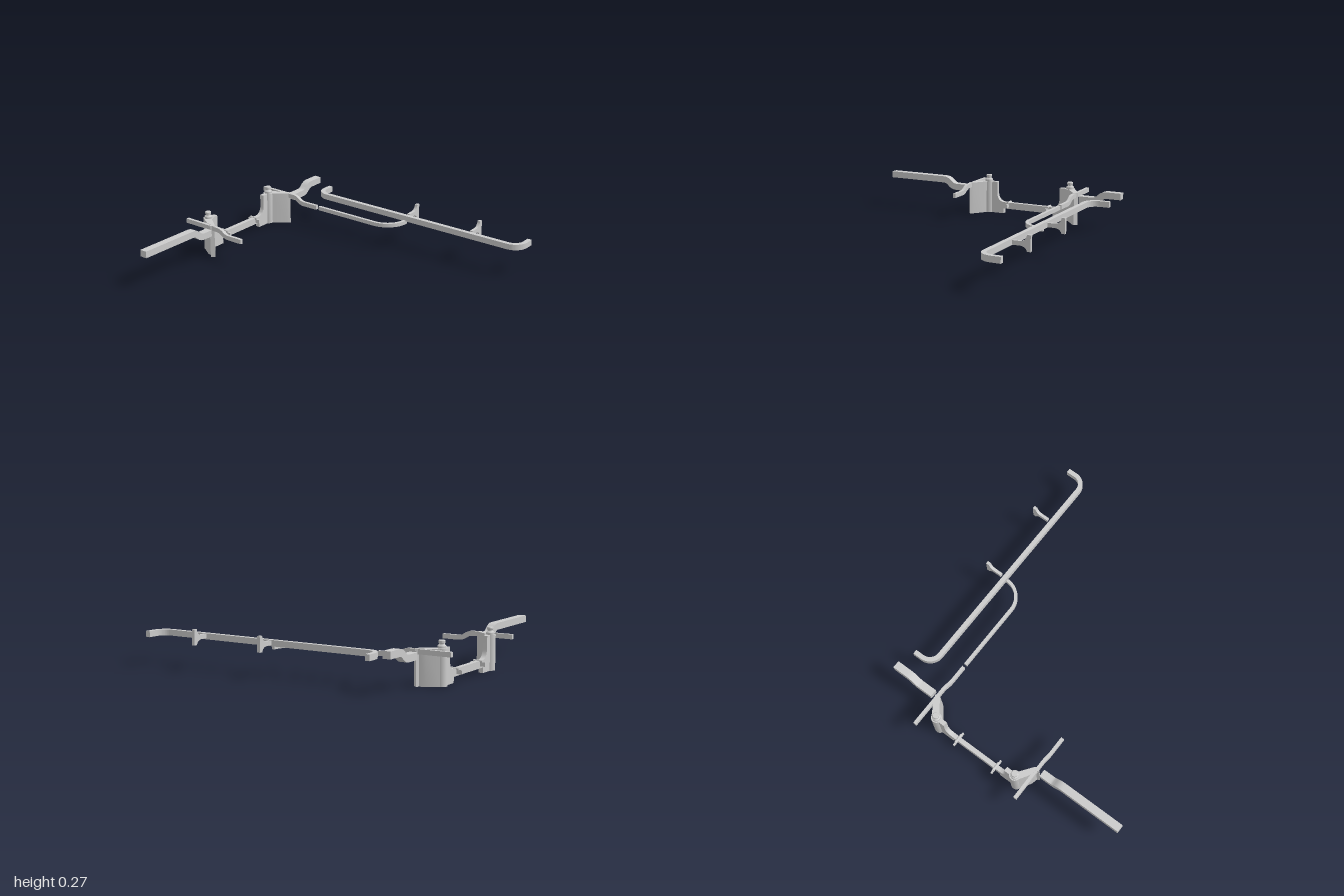
import * as THREE from 'three';
import { toCreasedNormals } from 'three/addons/utils/BufferGeometryUtils.js';

const material = new THREE.MeshStandardMaterial({ color: 0xcccccc, side: THREE.DoubleSide });

function add(group, name, geometry) {
  const mesh = new THREE.Mesh(toCreasedNormals(geometry, 0.6), material);
  mesh.name = name;
  group.add(mesh);
  return mesh;
}

const extrude = (shape, depth) =>
  new THREE.ExtrudeGeometry(shape, { depth, bevelEnabled: false, curveSegments: 10 });

// Band of constant width along a flat path
function ribbon(path, width) {
  const pts = path.getPoints(10).filter((p, i, a) => !i || p.distanceTo(a[i - 1]) > 1e-4);
  const left = [], right = [];
  pts.forEach((p, i) => {
    const t = pts[Math.min(i + 1, pts.length - 1)].clone().sub(pts[Math.max(i - 1, 0)]).normalize();
    const n = new THREE.Vector2(-t.y, t.x).multiplyScalar(width / 2);
    left.push(p.clone().add(n));
    right.unshift(p.clone().sub(n));
  });
  return new THREE.Shape([...left, ...right]);
}

// Plan shape (x, -z) raised from y0 to y1
const plan = (shape, y0, y1) => extrude(shape, y1 - y0).rotateX(-Math.PI / 2).translate(0, y0, 0);
// Front elevation (x, y) centred on z
const elevation = (shape, z, depth) => extrude(shape, depth).translate(0, 0, z - depth / 2);
// Side elevation (z, y) centred on x
const sideElevation = (shape, x, depth) =>
  extrude(shape, depth).rotateY(-Math.PI / 2).translate(x + depth / 2, 0, 0);

// Straight run, S bend, straight run
function stepPath(u0, v0, ua, ub, u1, v1) {
  const m = (ua + ub) / 2;
  const p = new THREE.Path().moveTo(u0, v0);
  p.lineTo(ua, v0);
  p.bezierCurveTo(m, v0, m, v1, ub, v1);
  p.lineTo(u1, v1);
  return p;
}

export function createModel() {
  const model = new THREE.Group();
  const mid = 0.147; // symmetry axis of the gate

  // Low crossing wall with curved shoulders
  const wall = new THREE.Shape();
  wall.moveTo(-0.16, 0);
  wall.lineTo(-0.04, 0);
  wall.lineTo(-0.04, 0.035);
  wall.lineTo(2 * mid + 0.04, 0.035);
  wall.lineTo(2 * mid + 0.04, 0);
  wall.lineTo(2 * mid + 0.16, 0);
  wall.lineTo(2 * mid + 0.16, 0.22);
  wall.lineTo(2 * mid + 0.09, 0.22);
  wall.lineTo(2 * mid + 0.09, 0.14);
  wall.quadraticCurveTo(2 * mid + 0.085, 0.08, 2 * mid + 0.03, 0.08);
  wall.lineTo(-0.03, 0.08);
  wall.quadraticCurveTo(-0.085, 0.08, -0.09, 0.14);
  wall.lineTo(-0.09, 0.22);
  wall.lineTo(-0.16, 0.22);
  wall.closePath();
  add(model, 'crossWall', elevation(wall, -0.89, 0.03));

  for (const s of [-1, 1]) {
    const x = (d) => mid + s * d;
    const side = s < 0 ? 'right' : 'left';

    // Round column with finial
    const profile = [[0, 0], [0.034, 0], [0.034, 0.22], [0.026, 0.22], [0.026, 0.233], [0.016, 0.243],
      [0.016, 0.249], [0.02, 0.251], [0.02, 0.263], [0.017, 0.266], [0, 0.266]];
    add(model, side + 'Column', new THREE.LatheGeometry(
      profile.map(([r, y]) => new THREE.Vector2(r, y)), 20)).position.set(x(0.307), 0, -0.89);

    // Splayed wing wall
    const wing = new THREE.Shape([[0.333, 0.908], [0.382, 0.83], [0.392, 0.79], [0.41, 0.782],
      [0.392, 0.758], [0.372, 0.775], [0.308, 0.86]].map(([d, z]) => new THREE.Vector2(x(d), z)));
    add(model, side + 'Wing', plan(wing, 0, 0.22));

    // Bars running front to back past the wing
    const bar = x(0.392);
    add(model, side + 'RearBar', new THREE.BoxGeometry(0.021, 0.03, 0.22)).position.set(bar, 0.203, -0.89);
    add(model, side + 'FrontBar',
      sideElevation(ribbon(stepPath(-0.77, 0.203, -0.73, -0.63, -0.52, 0.17), 0.03), bar, 0.021));

    // Small crossing lug on the wall
    const lug = new THREE.Group();
    lug.name = side + 'Lug';
    lug.position.set(x(0.15), 0, -0.89);
    add(lug, 'lugPlate', new THREE.BoxGeometry(0.01, 0.025, 0.1)).position.y = 0.06;
    add(lug, 'lugRod', new THREE.CylinderGeometry(0.009, 0.009, 0.06, 12).rotateX(Math.PI / 2))
      .position.y = 0.078;
    model.add(lug);
  }

  // Stepped side beams
  add(model, 'longBeam',
    elevation(ribbon(stepPath(-0.87, 0.227, -0.45, -0.35, -0.28, 0.182), 0.044), -0.775, 0.05));
  add(model, 'shortBeam',
    elevation(ribbon(stepPath(0.575, 0.182, 0.67, 0.77, 0.87, 0.227), 0.044), -0.775, 0.05));

  // Long rail with both ends turned outward
  const rail = new THREE.Path().moveTo(0.84, 0.632);
  rail.lineTo(0.78, 0.632);
  rail.absarc(0.78, 0.552, 0.08, Math.PI / 2, Math.PI, false);
  rail.lineTo(0.70, -0.9);
  rail.absarc(0.78, -0.9, 0.08, Math.PI, Math.PI * 1.5, false);
  rail.lineTo(0.84, -0.98);
  add(model, 'longRail', plan(ribbon(rail, 0.03), 0.177, 0.215));

  // Thin curved link joining the rail
  const link = new THREE.Path().moveTo(0.54, 0.5);
  link.lineTo(0.54, 0.03);
  link.absarc(0.685, 0.03, 0.145, Math.PI, Math.PI * 1.5, false);
  link.lineTo(0.70, -0.115);
  add(model, 'curvedLink', plan(ribbon(link, 0.021), 0.157, 0.183));

  // Flared brackets beside the rail
  const bracket = new THREE.Shape();
  bracket.moveTo(0.73, 0.188);
  bracket.lineTo(0.78, 0.188);
  bracket.quadraticCurveTo(0.815, 0.185, 0.822, 0.157);
  bracket.lineTo(0.845, 0.157);
  bracket.lineTo(0.845, 0.255);
  bracket.lineTo(0.822, 0.255);
  bracket.quadraticCurveTo(0.815, 0.218, 0.78, 0.215);
  bracket.lineTo(0.73, 0.215);
  bracket.closePath();
  for (const z of [0.115, 0.61]) add(model, 'railBracket', elevation(bracket, z, 0.02));

  return model;
}
